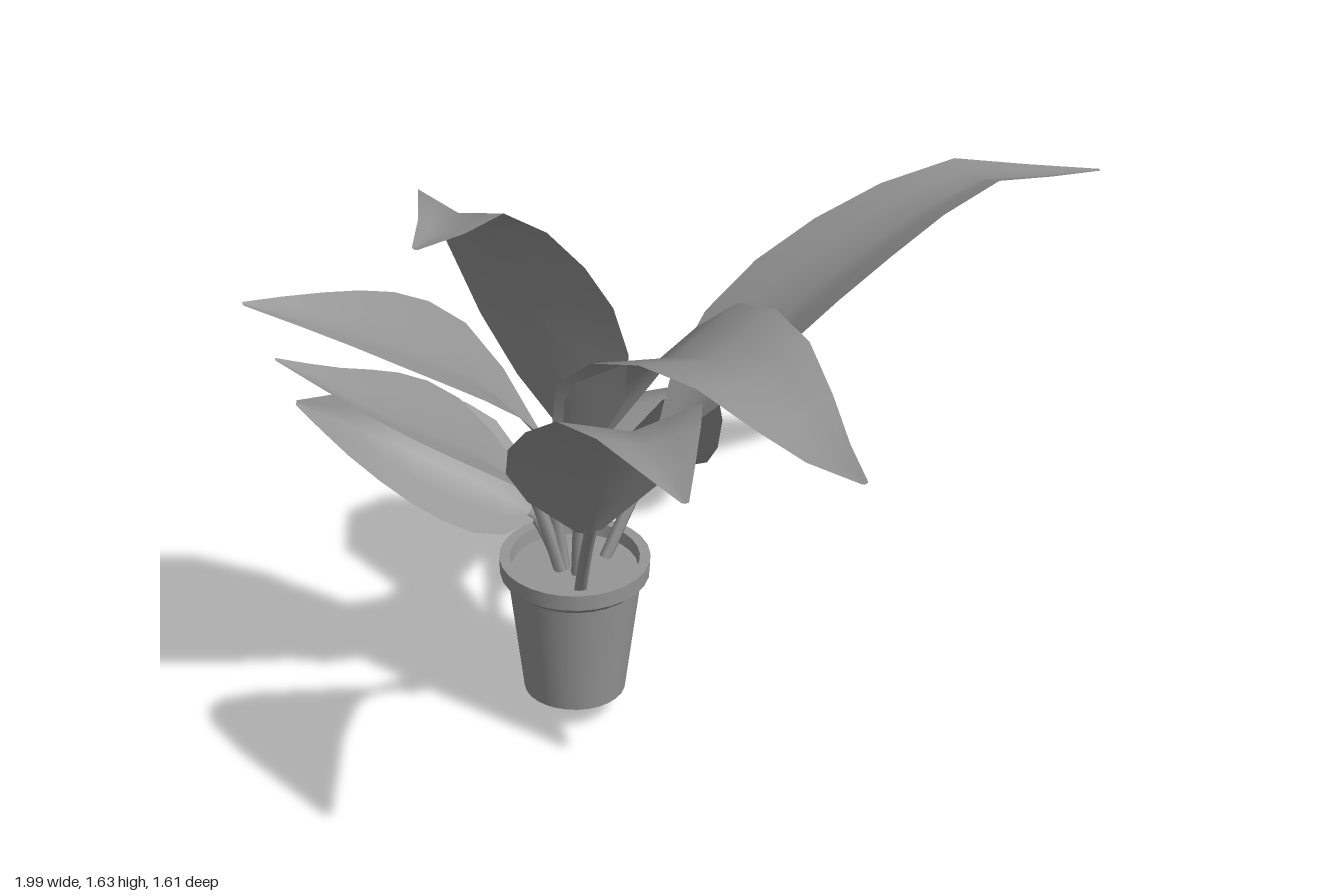
import * as THREE from 'three';

const potCentre = new THREE.Vector3(-0.24, 0.36, -0.205);
const potMaterial = new THREE.MeshStandardMaterial({ color: 0x969696 });
const leafMaterial = new THREE.MeshStandardMaterial({ color: 0x969696, side: THREE.DoubleSide });

// Relative half width of a blade at even steps from base to tip
const OUTLINE = [0.13, 0.68, 0.95, 1, 0.93, 0.77, 0.55, 0.3, 0.04];

const vec = (p) => new THREE.Vector3(...p);

// rib: centre line from base to tip; width: largest half width;
// fold: how far the edges rise in a V; roll: sideways tilt
function bladeGeometry(rib, width, fold, roll) {
  const curve = new THREE.CatmullRomCurve3(rib);
  const heading = rib[rib.length - 1].clone().sub(rib[0]).setY(0).normalize();
  const side = new THREE.Vector3(0, 1, 0).cross(heading).applyAxisAngle(heading, roll);
  const rows = OUTLINE.length, cols = 5;
  const positions = [], indices = [];
  for (let i = 0; i < rows; i++) {
    const t = i / (rows - 1);
    const centre = curve.getPointAt(t);
    const up = curve.getTangentAt(t).cross(side).normalize();
    for (let j = 0; j < cols; j++) {
      const u = (j / (cols - 1)) * 2 - 1;
      const half = width * OUTLINE[i];
      const p = centre.clone().addScaledVector(side, u * half).addScaledVector(up, Math.abs(u) * half * fold);
      positions.push(p.x, p.y, p.z);
      if (i < rows - 1 && j < cols - 1) {
        const a = i * cols + j, b = a + cols;
        indices.push(a, b, a + 1, a + 1, b, b + 1);
      }
    }
  }
  const geometry = new THREE.BufferGeometry();
  geometry.setAttribute('position', new THREE.Float32BufferAttribute(positions, 3));
  geometry.setIndex(indices);
  geometry.computeVertexNormals();
  return geometry;
}

function makeLeaf(name, { width, fold, roll = 0 }, ribPoints) {
  const rib = ribPoints.map(vec);
  const leaf = new THREE.Group();
  leaf.name = name;
  const blade = new THREE.Mesh(bladeGeometry(rib, width, fold, roll), leafMaterial);
  blade.name = 'blade';

  // Stalk leaves the soil on the side of its blade and bows up to it
  const base = rib[0];
  const root = base.clone().sub(potCentre).setY(0).multiplyScalar(0.35).clampLength(0, 0.1).add(potCentre);
  const bend = root.clone().lerp(base, 0.5);
  bend.y += 0.01;
  const path = new THREE.CatmullRomCurve3([root, bend, base, base.clone().lerp(rib[1], 0.1)]);
  const stalk = new THREE.Mesh(new THREE.TubeGeometry(path, 10, 0.014, 6), leafMaterial);
  stalk.name = 'stalk';
  leaf.add(blade, stalk);
  return leaf;
}

function makePot() {
  const pot = new THREE.Group();
  pot.name = 'pot';
  pot.position.set(potCentre.x, 0, potCentre.z);
  // Each profile segment is its own band, so the edges stay crisp
  const addBands = (name, profile) => {
    const points = profile.map(([r, y]) => new THREE.Vector2(r, y));
    for (let i = 0; i < points.length - 1; i++) {
      const band = new THREE.Mesh(new THREE.LatheGeometry([points[i], points[i + 1]], 28), potMaterial);
      band.name = name;
      pot.add(band);
    }
  };
  addBands('potBody', [[0, 0.066], [0.108, 0.066], [0.143, 0.335]]);
  addBands('potRim', [[0.143, 0.335], [0.161, 0.352], [0.163, 0.39], [0.14, 0.39], [0.136, 0.355]]);
  const soil = new THREE.Mesh(new THREE.CircleGeometry(0.138, 28).rotateX(-Math.PI / 2), potMaterial);
  soil.name = 'soil';
  soil.position.y = potCentre.y;
  pot.add(soil);
  return pot;
}

export function createModel() {
  const plant = new THREE.Group();
  plant.name = 'pottedPlant';
  plant.add(
    makePot(),
    makeLeaf('leftLeaf', { width: 0.21, fold: 0.2, roll: -0.3 },
      [[-0.02, 0.6, -0.17], [0.3, 0.88, -0.07], [0.7, 1.06, 0.04], [0.84, 1.03, 0.08], [0.99, 1, 0.12]]),
    makeLeaf('backLeftLeaf', { width: 0.21, fold: 0.28 },
      [[-0.15, 0.57, -0.25], [-0.03, 0.62, -0.36], [0.13, 0.48, -0.48], [0.35, 0.16, -0.62], [0.6, 0.01, -0.8]]),
    makeLeaf('frontLeaf', { width: 0.2, fold: 0.28 },
      [[-0.2, 0.62, -0.21], [-0.18, 0.94, -0.02], [-0.2, 1.07, 0.26], [-0.25, 1.03, 0.6], [-0.28, 1.05, 0.77]]),
    makeLeaf('frontRightLeaf', { width: 0.21, fold: 0.26 },
      [[-0.4, 0.62, 0.02], [-0.56, 1, 0.26], [-0.66, 1.2, 0.46], [-0.74, 1.23, 0.62], [-0.83, 1.25, 0.8]]),
    makeLeaf('tallLeaf', { width: 0.19, fold: 0.25 },
      [[-0.27, 0.7, -0.15], [-0.46, 1.18, -0.13], [-0.7, 1.53, -0.06], [-0.8, 1.57, 0.01], [-0.99, 1.64, 0.11]]),
    makeLeaf('upperRightLeaf', { width: 0.14, fold: 0.3, roll: -0.4 },
      [[-0.29, 0.68, -0.25], [-0.43, 0.87, -0.31], [-0.8, 1.14, -0.36], [-1, 1.25, -0.43]]),
    makeLeaf('lowerRightLeaf', { width: 0.13, fold: 0.3, roll: -0.4 },
      [[-0.32, 0.56, -0.25], [-0.46, 0.71, -0.28], [-0.8, 0.98, -0.31], [-0.95, 1.11, -0.38]]),
    makeLeaf('backRightLeaf', { width: 0.14, fold: 0.35, roll: -0.6 },
      [[-0.3, 0.49, -0.27], [-0.39, 0.57, -0.36], [-0.52, 0.66, -0.52], [-0.6, 0.7, -0.7]]),
  );
  return plant;
}
